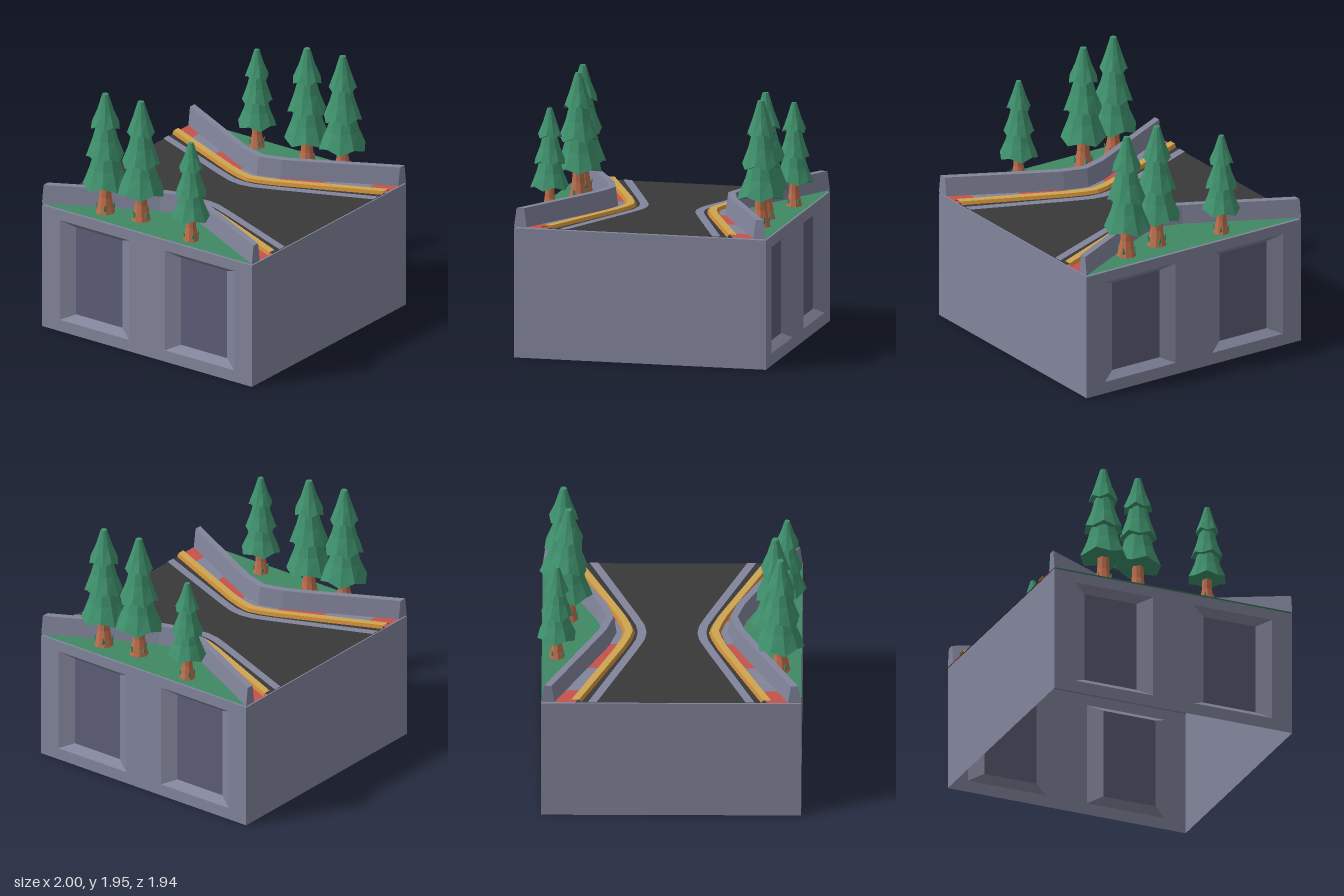
import * as THREE from 'three';

const mat = (name, color, double = true) => {
  const m = new THREE.MeshStandardMaterial({ color, side: double ? THREE.DoubleSide : THREE.FrontSide, flatShading: true });
  m.name = name;
  return m;
};

export function createModel() {
  const M = {
    stone: mat('stone grey', 0x82859b),
    panel: mat('panel slate', 0x5d5e78),
    road: mat('asphalt', 0x393939),
    red: mat('kerb red', 0xc5524d),
    gold: mat('rail gold', 0xcda552),
    orange: mat('rail orange', 0xc28532),
    grass: mat('grass green', 0x3f8864),
    leaf: mat('foliage green', 0x3f916d),
    bark: mat('bark brown', 0xbf6f4c),
  };
  const W = 0.967, L = 0.97, TOP = 0.98;

  const add = (parent, name, geo, material, pos = [0, 0, 0]) => {
    const mesh = new THREE.Mesh(geo, material);
    mesh.name = name;
    mesh.position.set(...pos);
    parent.add(mesh);
    return mesh;
  };
  const fromTriangles = (tris) => {
    const g = new THREE.BufferGeometry();
    g.setAttribute('position', new THREE.Float32BufferAttribute(tris.flat(2), 3));
    g.computeVertexNormals();
    return g;
  };

  // Plan curves: distance from the centre line at |z|
  const curve = (pts) => (z) => {
    const a = Math.abs(z);
    let i = 0;
    while (i < pts.length - 2 && a > pts[i + 1][0]) i++;
    const [z0, x0] = pts[i], [z1, x1] = pts[i + 1];
    return x0 + (x1 - x0) * (a - z0) / (z1 - z0);
  };
  const wallX = curve([[0, 0.462], [0.18, 0.515], [0.32, 0.585], [0.65, 0.755], [L, 0.92]]);
  const railX = curve([[0, 0.32], [0.1, 0.342], [0.23, 0.388], [L, 0.715]]);
  const lineX = curve([[0, 0.222], [0.1, 0.236], [0.24, 0.288], [L, 0.587]]);
  const knots = [0, 0.1, 0.18, 0.23, 0.32, 0.49, 0.65, 0.81, L];
  const allZ = [...knots.slice(1).reverse().map((z) => -z), ...knots];

  // Sweep a cross-section (x increasing) along z, optionally capping both ends
  const loft = (section, z0 = -L, z1 = L, caps = false) => {
    const zs = [z0, ...allZ.filter((z) => z > z0 + 1e-4 && z < z1 - 1e-4), z1];
    const rows = zs.map((z) => section(z).map(([x, y]) => [x, y, z]));
    const t = [];
    for (let j = 0; j < rows.length - 1; j++)
      for (let i = 0; i < rows[j].length - 1; i++) {
        const a = rows[j][i], b = rows[j][i + 1], c = rows[j + 1][i], d = rows[j + 1][i + 1];
        t.push([a, c, b], [b, c, d]);
      }
    if (caps) {
      const s = rows[0], e = rows[rows.length - 1];
      for (let i = 1; i < s.length - 1; i++) t.push([s[0], s[i], s[i + 1]], [e[0], e[i + 1], e[i]]);
    }
    return fromTriangles(t);
  };

  // Tree: flared trunk, three scalloped tiers, small leaves at the foot
  const tier = (rt, rb, h) => {
    const n = 10, g = new THREE.CylinderGeometry(rt, rb, h, n, 2), p = g.attributes.position;
    for (let i = 0; i < p.count; i++) {
      const x = p.getX(i), y = p.getY(i), z = p.getZ(i), r = Math.hypot(x, z);
      if (r < 1e-4) continue;
      if (Math.abs(y) < 1e-4) {
        p.setX(i, x * 0.93);
        p.setZ(i, z * 0.93);
      } else if (y < 0) {
        const k = Math.round(Math.atan2(x, z) / (2 * Math.PI / n) + n) % 2;
        p.setY(i, y + (k ? 0.025 : -0.01));
        if (k) { p.setX(i, x * 0.96); p.setZ(i, z * 0.96); }
      }
    }
    g.computeVertexNormals();
    return g;
  };
  const trunkProfile = [[0.074, 0], [0.06, 0.06], [0.047, 0.13], [0.042, 0.28]].map(([r, y]) => new THREE.Vector2(r, y));
  const makeTree = (x, z, s, turn) => {
    const tree = new THREE.Group();
    tree.name = 'tree';
    add(tree, 'trunk', new THREE.LatheGeometry(trunkProfile, 9), M.bark);
    [[0.085, 0.18, 0.28, 0.365], [0.06, 0.147, 0.28, 0.595], [0.024, 0.112, 0.26, 0.825]].forEach(([rt, rb, h, y], i) => {
      add(tree, 'foliageTier', tier(rt, rb, h), M.leaf, [0, y, 0]).rotation.y = i * 0.35;
    });
    for (let k = 0; k < 4; k++) {
      const a = k * Math.PI / 2 + 0.4;
      const leaf = add(tree, 'footLeaf', new THREE.ConeGeometry(0.018, 0.06, 4), M.leaf,
        [Math.sin(a) * 0.064, 0.06, Math.cos(a) * 0.064]);
      leaf.rotation.set(0.35 * Math.cos(a), 0, -0.35 * Math.sin(a));
    }
    tree.position.set(x, 0.99, z);
    tree.scale.setScalar(s);
    tree.rotation.y = turn;
    return tree;
  };

  // Recessed side wall of the base, facing +z before it is turned
  const makeSideWall = () => {
    const wall = new THREE.Group();
    wall.name = 'sideWall';
    const rect = (cx, cy, w, h) => [[-1, -1], [1, -1], [1, 1], [-1, 1]].map(([a, b]) => [cx + a * w, cy + b * h]);
    const v2 = (pts) => pts.map(([x, y]) => new THREE.Vector2(x, y));
    const shape = new THREE.Shape(v2(rect(0, TOP / 2, L, TOP / 2)));
    for (const cx of [-0.485, 0.485]) {
      const outer = rect(cx, 0.495, 0.32, 0.403), inner = rect(cx, 0.495, 0.213, 0.352);
      shape.holes.push(new THREE.Path(v2(outer)));
      const t = [];
      for (let i = 0; i < 4; i++) {
        const k = (i + 1) % 4;
        const a = [...outer[i], 0], b = [...outer[k], 0], c = [...inner[i], -0.06], d = [...inner[k], -0.06];
        t.push([a, b, c], [b, d, c]);
      }
      add(wall, 'recessFrame', fromTriangles(t), M.stone);
      add(wall, 'recessPanel', new THREE.PlaneGeometry(0.426, 0.704), M.panel, [cx, 0.495, -0.06]);
    }
    add(wall, 'wallFace', new THREE.ShapeGeometry(shape), M.stone);
    return wall;
  };

  // One half of the model, on the +x side
  const makeHalf = () => {
    const half = new THREE.Group();
    half.name = 'half';
    const side = makeSideWall();
    side.rotation.y = Math.PI / 2;
    side.position.x = W;
    half.add(side);
    add(half, 'endWall', new THREE.PlaneGeometry(2 * W, TOP), M.stone, [0, TOP / 2, L]);

    add(half, 'road', loft((z) => [[0, 0.988], [railX(z), 0.988]]), M.road);
    add(half, 'edgeLine', loft((z) => [[lineX(z) - 0.033, 0.9935], [lineX(z) + 0.033, 0.9935]]), M.stone);
    add(half, 'grass', loft((z) => [[Math.min(wallX(z), W), 0.992], [W, 0.992]]), M.grass);

    // Kerb in alternating colours
    const cuts = [-L, -0.81, -0.49, -0.16, 0.16, 0.49, 0.81, L];
    for (let i = 0; i < 7; i++)
      add(half, 'kerb', loft((z) => [[railX(z), 0.991], [wallX(z), 0.991]], cuts[i], cuts[i + 1]), i % 2 ? M.stone : M.red);

    // Low rail with bevelled sides
    add(half, 'railTop', loft((z) => [[railX(z) - 0.029, 1.013], [railX(z) + 0.029, 1.013]]), M.gold);
    for (const s of [-1, 1])
      add(half, 'railSide', loft((z) => {
        const e = [[railX(z) + s * 0.029, 1.013], [railX(z) + s * 0.046, 0.99]];
        return s > 0 ? e : e.reverse();
      }), M.orange);

    // Barrier with sloping faces
    add(half, 'barrier', loft((z) => {
      const x = wallX(z);
      return [[x - 0.05, 0.99], [x - 0.03, 1.135], [x + 0.027, 1.135], [x + 0.047, 0.99]];
    }, -L, L, true), M.stone);

    half.add(makeTree(0.81, 0.5, 1, 0.2), makeTree(0.77, 0.2, 1, 0.9), makeTree(0.855, -0.325, 0.82, 0.5));
    return half;
  };

  const model = new THREE.Group();
  model.name = 'roadTile';
  const a = makeHalf(), b = makeHalf();
  b.rotation.y = Math.PI;
  model.add(a, b);

  // Deck closing the hollow base
  add(model, 'deck', new THREE.PlaneGeometry(2 * W, 2 * L), M.stone, [0, TOP - 0.001, 0]).rotation.x = -Math.PI / 2;
  return model;
}
